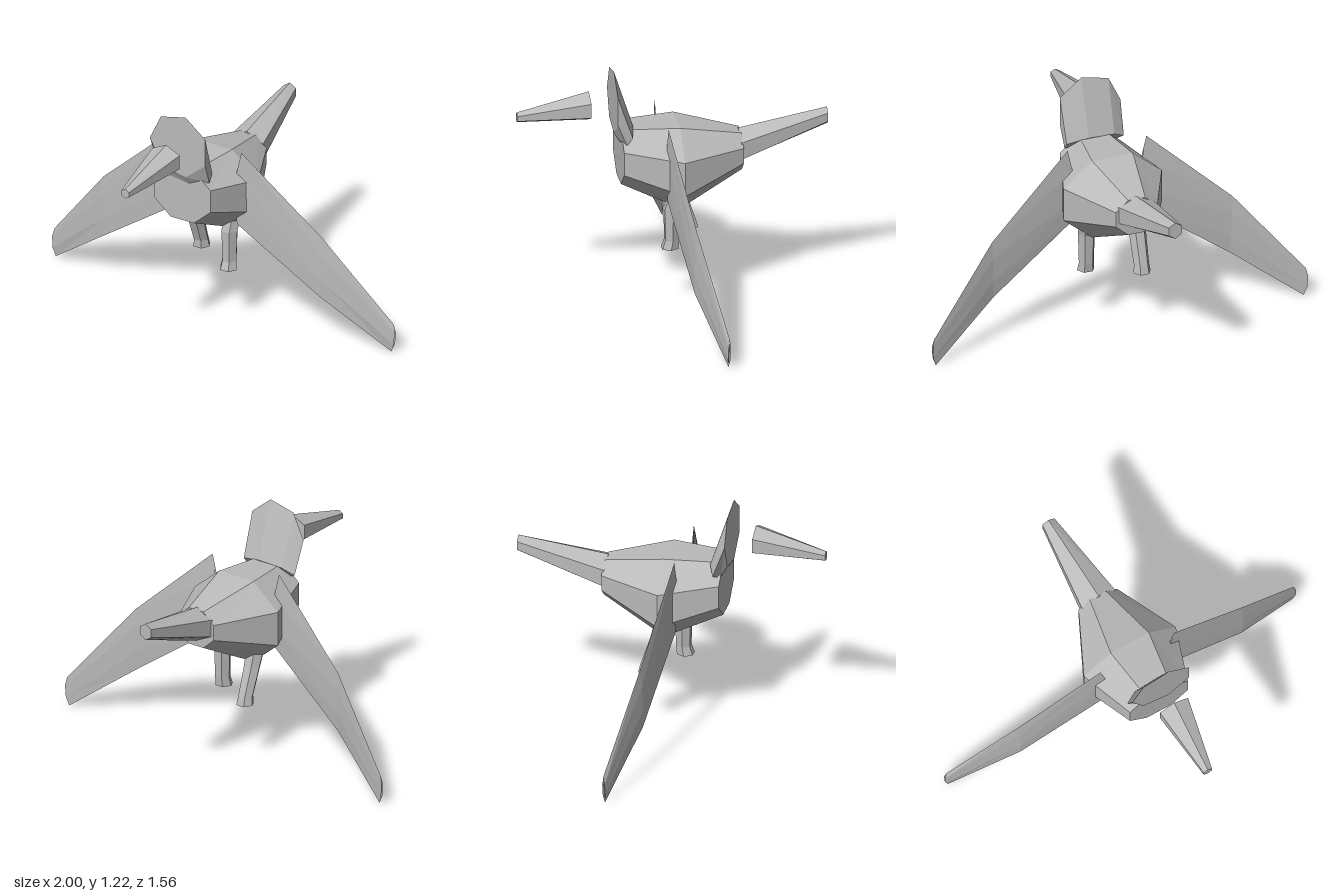
import * as THREE from 'three';

const V = (x, y, z) => new THREE.Vector3(x, y, z);

// Ring of n points around a centre; u and v are the two half-axis vectors.
function ring(n, c, u, v, start = 0) {
  return Array.from({ length: n }, (_, i) => {
    const a = start + (i / n) * Math.PI * 2;
    return c.clone().addScaledVector(u, Math.cos(a)).addScaledVector(v, Math.sin(a));
  });
}

// Closed skin through a list of rings, with both ends capped, faces outward.
function loft(rings) {
  const tris = [];
  const n = rings[0].length;
  for (let r = 0; r < rings.length - 1; r++) {
    for (let i = 0; i < n; i++) {
      const j = (i + 1) % n;
      const a = rings[r][i], b = rings[r][j], c = rings[r + 1][j], d = rings[r + 1][i];
      tris.push([a, b, c], [a, c, d]);
    }
  }
  const first = rings[0], last = rings[rings.length - 1];
  for (let i = 1; i < n - 1; i++) {
    tris.push([first[0], first[i + 1], first[i]], [last[0], last[i], last[i + 1]]);
  }
  let volume = 0;
  for (const [a, b, c] of tris) volume += a.dot(b.clone().cross(c));
  if (volume < 0) tris.forEach((t) => t.reverse());
  const geometry = new THREE.BufferGeometry().setFromPoints(tris.flat());
  geometry.computeVertexNormals();
  return geometry;
}

export function createModel() {
  const group = new THREE.Group();
  const grey = new THREE.MeshStandardMaterial({ color: 0xbababa, flatShading: true });
  grey.name = 'grey';

  function add(name, rings) {
    const mesh = new THREE.Mesh(loft(rings), grey);
    mesh.name = name;
    group.add(mesh);
  }
  // Upright ring facing along z, given its half extents.
  const facing = (n, x, y, z, rx, ry, start) =>
    ring(n, V(x, y, z), V(rx, 0, 0), V(0, ry, 0), start);

  // Octagonal body, widest in the middle (sizes are to the flat sides)
  const k = 1 / Math.cos(Math.PI / 8);
  add('body', [
    [0.78, 0.27, 0.165, 0.145],
    [0.715, -0.02, 0.262, 0.215],
    [0.76, -0.34, 0.11, 0.097],
  ].map(([y, z, w, h]) => facing(8, 0, y, z, w * k, h * k, Math.PI / 8)));

  // Seven-sided head: a flat face narrowing to a tilted neck
  add('head', [
    facing(7, 0, 1.06, 0.3, 0.17, 0.17, Math.PI),
    ring(7, V(0, 0.89, 0.238), V(0.163, 0, 0), V(0, 0.042, -0.034), Math.PI),
  ]);

  // Six-sided beak, floating ahead of the face
  add('beak', [
    facing(6, 0, 1.04, 0.42, 0.092, 0.075, Math.PI / 2),
    facing(6, -0.013, 0.995, 0.78, 0.027, 0.026, Math.PI / 2),
  ]);

  // Tapered tail
  add('tail', [
    facing(6, 0, 0.778, -0.33, 0.11, 0.09, Math.PI / 2),
    facing(6, -0.03, 0.893, -0.78, 0.04, 0.044, Math.PI / 2),
  ]);

  // Legs, one stepping forward and one back: [y, z, radius] sections
  const leg = (name, x, sections) => add(name, sections.map(([y, z, r]) =>
    ring(6, V(x, y, z), V(r, 0, 0), V(0, 0, r), 0)));
  leg('leftLeg', 0.122, [
    [0.58, 0.0, 0.05], [0.51, 0.024, 0.045], [0.345, 0.025, 0.04], [0.3, 0.035, 0.046],
  ]);
  leg('rightLeg', -0.122, [
    [0.58, -0.02, 0.05], [0.5, -0.045, 0.045], [0.345, -0.1, 0.04], [0.305, -0.105, 0.046],
  ]);

  // Thin drooping wings: [upper edge, lower edge, outward bulge] sections
  const wingSections = [
    [[0.21, 0.97, 0.055], [0.185, 0.57, 0.055], -0.02],
    [[0.64, 0.58, -0.018], [0.63, 0.26, -0.005], 0],
    [[0.99, 0.155, -0.12], [0.98, 0.004, -0.115], 0.015],
  ];
  for (const [side, name] of [[1, 'leftWing'], [-1, 'rightWing']]) {
    add(name, wingSections.map(([top, bottom, bulge]) => {
      const a = V(...top), b = V(...bottom);
      const points = [a, b];
      const at = (t, dz) => a.clone().lerp(b, t).add(V(bulge * 0.9, 0, dz));
      const outline = [points[0], at(0.3, 0.006), at(0.7, 0.006),
        points[1], at(0.7, -0.006), at(0.3, -0.006)];
      return outline.map((p) => V(p.x * side, p.y, p.z));
    }));
  }
  return group;
}
